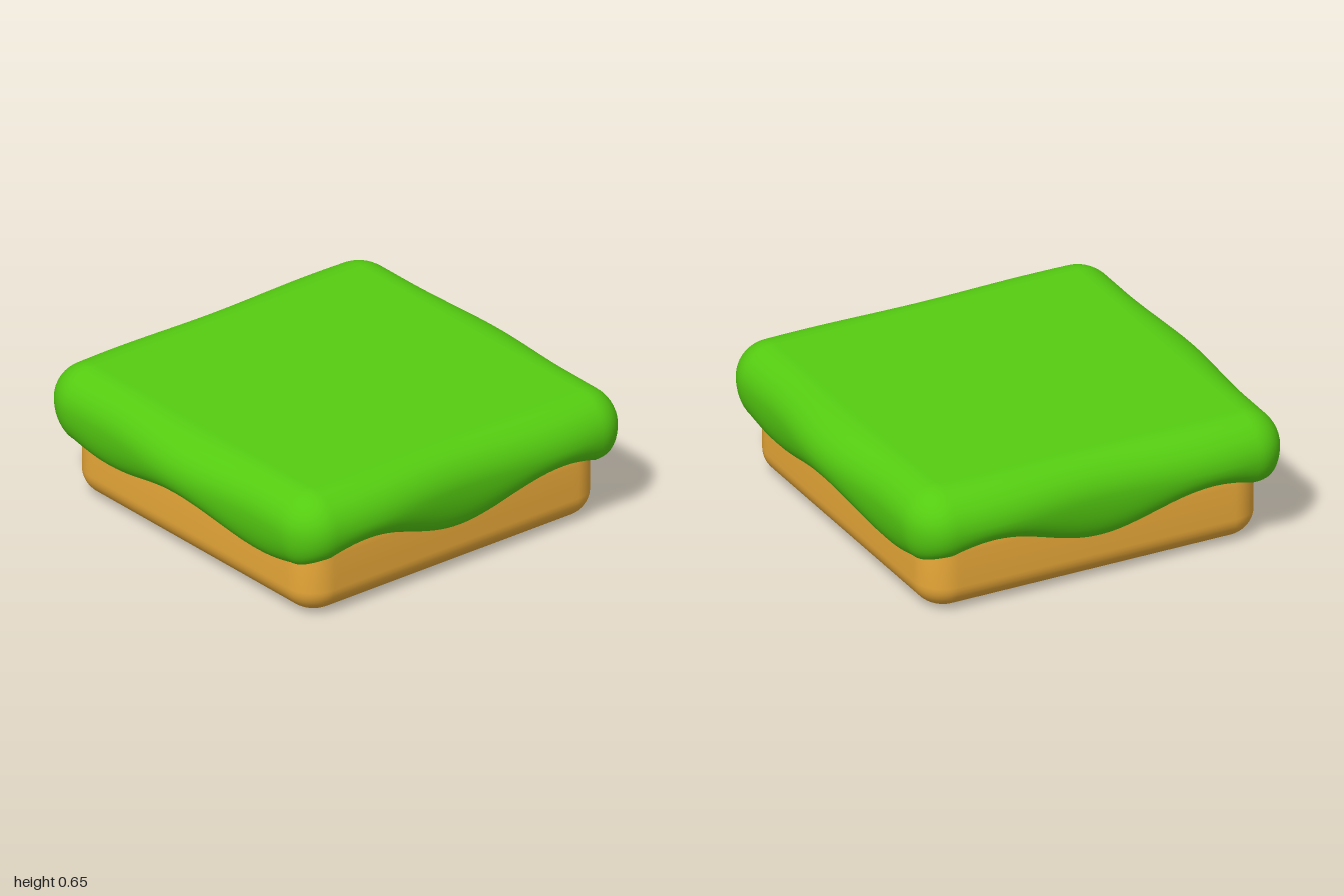
import * as THREE from 'three';

// Rounded-square plan: core points on a square of half-width c, each with an outward normal
function squarePlan(c, arcSteps = 12, sideSteps = 48) {
  const plan = [];
  const corner = k => {
    const a = (k + 0.5) * Math.PI / 2;
    return [Math.sign(Math.cos(a)) * c, Math.sign(Math.sin(a)) * c];
  };
  for (let k = 0; k < 4; k++) {
    const [x, z] = corner(k), [x2, z2] = corner(k + 1);
    for (let i = 0; i <= arcSteps; i++) {
      const a = (k + i / arcSteps) * Math.PI / 2;
      plan.push({ x, z, nx: Math.cos(a), nz: Math.sin(a) });
    }
    const a = (k + 1) * Math.PI / 2;
    for (let i = 1; i < sideSteps; i++) {
      const t = i / sideSteps;
      plan.push({ x: x + (x2 - x) * t, z: z + (z2 - z) * t, nx: Math.cos(a), nz: Math.sin(a) });
    }
  }
  return plan;
}

// Skin closed rings from top to bottom; section(p) returns [offset, y] pairs
function skin(plan, section) {
  const n = plan.length, columns = plan.map(section), rows = columns[0].length;
  const pos = [], index = [];
  for (let j = 0; j < rows; j++) {
    plan.forEach((p, i) => {
      const [d, y] = columns[i][j];
      pos.push(p.x + p.nx * d, y, p.z + p.nz * d);
    });
  }
  const top = n * rows, bottom = top + 1;
  pos.push(0, columns[0][0][1], 0, 0, columns[0][rows - 1][1], 0);
  for (let i = 0; i < n; i++) {
    const k = (i + 1) % n;
    index.push(top, k, i, bottom, (rows - 1) * n + i, (rows - 1) * n + k);
    for (let j = 0; j < rows - 1; j++) {
      const a = j * n + i, b = j * n + k;
      index.push(a, b, a + n, b, b + n, a + n);
    }
  }
  const geo = new THREE.BufferGeometry();
  geo.setAttribute('position', new THREE.Float32BufferAttribute(pos, 3));
  geo.setIndex(index);
  geo.computeVertexNormals();
  return geo;
}

function addPart(group, name, geometry, color) {
  const mesh = new THREE.Mesh(geometry, new THREE.MeshStandardMaterial({ color }));
  mesh.name = name;
  group.add(mesh);
}

export function createModel() {
  const group = new THREE.Group();
  group.name = 'groundTile';

  // Earth base: upright walls with a rounded lower edge
  addPart(group, 'earthBase', skin(squarePlan(0.72), () => {
    const pts = [[0.14, 0.48], [0.151, 0.3], [0.151, 0.2]];
    for (let i = 0; i <= 10; i++) {
      const a = i / 10 * Math.PI / 2;
      pts.push([0.02 + 0.131 * Math.cos(a), 0.13 - 0.125 * Math.sin(a)]);
    }
    pts.push([0.005, 0.003], [0, 0]);
    return pts;
  }), 0xe8a838);

  // Grass cap: swelling rim over a wavy hem
  const R = 0.185, MID = 0.47, TOP = 0.648;
  addPart(group, 'grassCap', skin(squarePlan(0.78), p => {
    const wx = p.nx * p.nx, wz = p.nz * p.nz;
    const waveFront = Math.cos(p.x * 2 * Math.PI / 1.14);
    const waveSide = Math.cos(p.z * 2 * Math.PI / 1.1);
    const hem = wz * (0.297 - 0.063 * waveFront) + wx * (0.298 + 0.042 * waveSide);
    const swellSide = 0.035 * Math.cos(Math.min(Math.abs(p.z) / 0.58, 1) * Math.PI / 2) ** 2;
    const swellFront = (p.nz > 0 ? 0.009 + 0.006 * p.x : 0.017) - 0.012 * waveFront;
    const out = R + wx * swellSide + wz * swellFront;
    const pts = [[0, TOP], [0.006, TOP]];
    for (let i = 1; i <= 12; i++) {
      const a = i / 12 * Math.PI / 2;
      pts.push([0.006 + (out - 0.006) * Math.sin(a), MID + (TOP - MID) * Math.cos(a)]);
    }
    // lower half curls inward to the hem
    for (let i = 1; i <= 12; i++) {
      const a = i / 12 * Math.PI / 2;
      pts.push([out - 0.095 * (1 - Math.cos(a)), MID - (MID - hem) * Math.sin(a)]);
    }
    pts.push([out - 0.12, hem + 0.004], [0.03, hem + 0.03], [0, 0.42]);
    return pts;
  }), 0x55cc11);

  return group;
}
